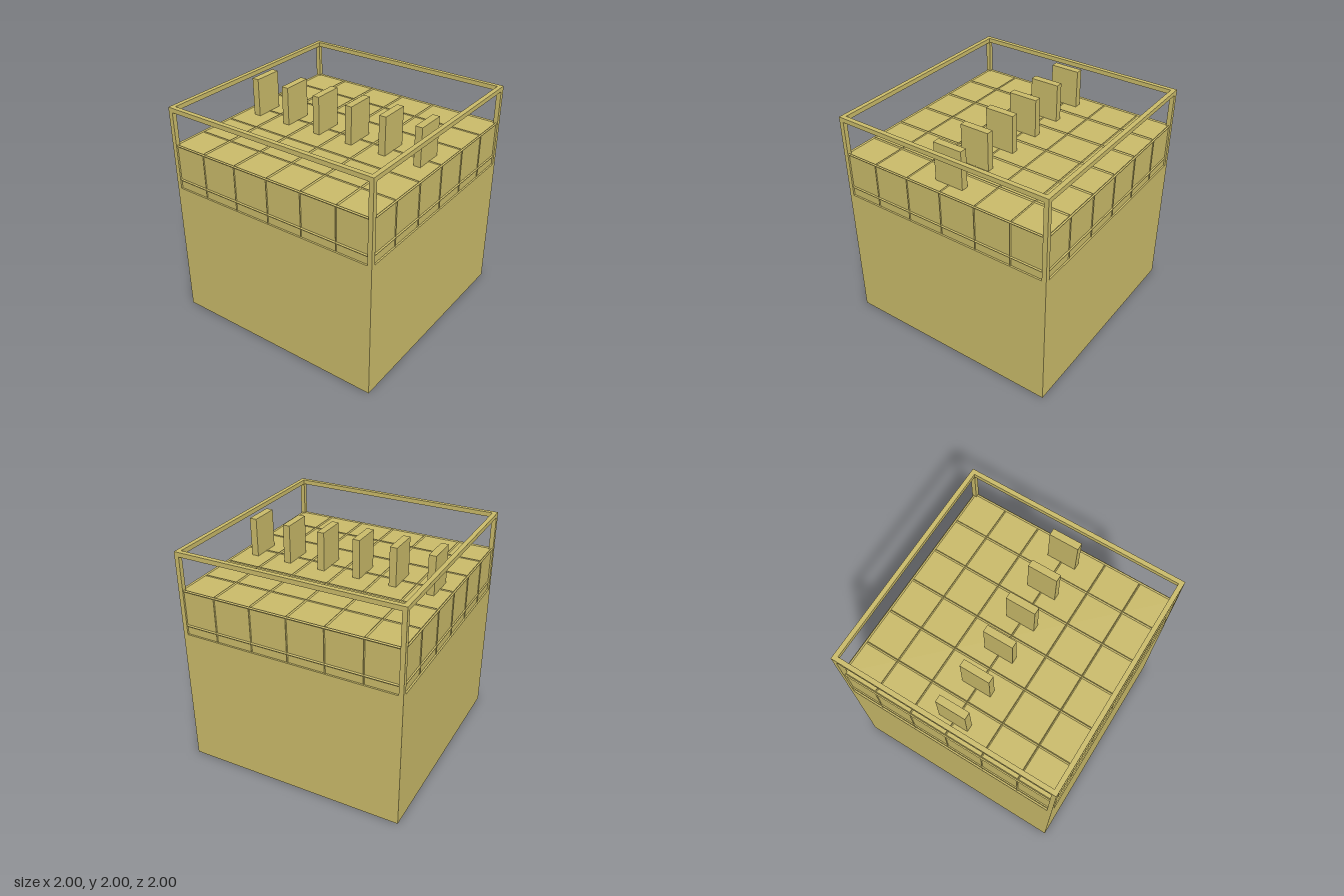
import * as THREE from 'three';

const sand = new THREE.MeshStandardMaterial({ color: 0xc9ba69 });
sand.name = 'sand';

export function createModel() {
  const model = new THREE.Group();

  function box(name, w, h, d, x, y, z, parent = model) {
    const mesh = new THREE.Mesh(new THREE.BoxGeometry(w, h, d), sand);
    mesh.name = name;
    mesh.position.set(x, y, z);
    parent.add(mesh);
    return mesh;
  }

  // Thin four-sided ridge, lying along the given axis
  function ridge(name, axis, length, x, y, z, parent, radius = 0.01) {
    const geometry = new THREE.CylinderGeometry(radius, radius, length, 4).toNonIndexed();
    geometry.computeVertexNormals();
    if (axis === 'x') geometry.rotateZ(Math.PI / 2);
    if (axis === 'z') geometry.rotateX(Math.PI / 2);
    const mesh = new THREE.Mesh(geometry, sand);
    mesh.name = name;
    mesh.position.set(x, y, z);
    parent.add(mesh);
  }

  // Lower body and the slightly recessed upper core
  const ledge = 1.255, top = 1.655, half = 0.985;
  box('lowerBody', 2, ledge, 2, 0, ledge / 2, 0);
  box('upperCore', half * 2, top - ledge, half * 2, 0, (top + ledge) / 2, 0);

  // Corner posts and the top rim
  for (const a of [-1, 1]) {
    for (const b of [-1, 1]) box('cornerPost', 0.04, 2 - ledge, 0.04, a * 0.98, (2 + ledge) / 2, b * 0.98);
    box('rimAcross', 2, 0.04, 0.04, 0, 1.98, a * 0.98);
    box('rimAlong', 0.04, 0.04, 1.92, a * 0.98, 1.98, 0);
  }

  // Ridges that divide the deck and sides into square panels
  const grid = new THREE.Group();
  grid.name = 'panelGrid';
  model.add(grid);
  for (let i = -2; i <= 2; i++) {
    const p = i / 3;
    ridge('deckRidgeAcross', 'x', 1.94, 0, top, p, grid);
    ridge('deckRidgeAlong', 'z', 1.94, p, top, 0, grid, 0.007);
    for (const s of [-half, half]) {
      ridge('sideRidge', 'y', top - ledge, p, (top + ledge) / 2, s, grid, 0.006);
      ridge('sideRidge', 'y', top - ledge, s, (top + ledge) / 2, p, grid, 0.006);
    }
  }
  for (const s of [-half, half]) {
    for (const y of [4 / 3, top]) {
      ridge('sideBandAcross', 'x', 1.94, 0, y, s, grid);
      ridge('sideBandAlong', 'z', 1.94, s, y, 0, grid);
    }
  }

  // Row of upright slabs on the deck
  for (let i = 0; i < 6; i++) {
    box('uprightSlab', 0.265, 2 - top, 0.064, 0, (2 + top) / 2, (i - 2.5) / 3);
  }

  return model;
}
